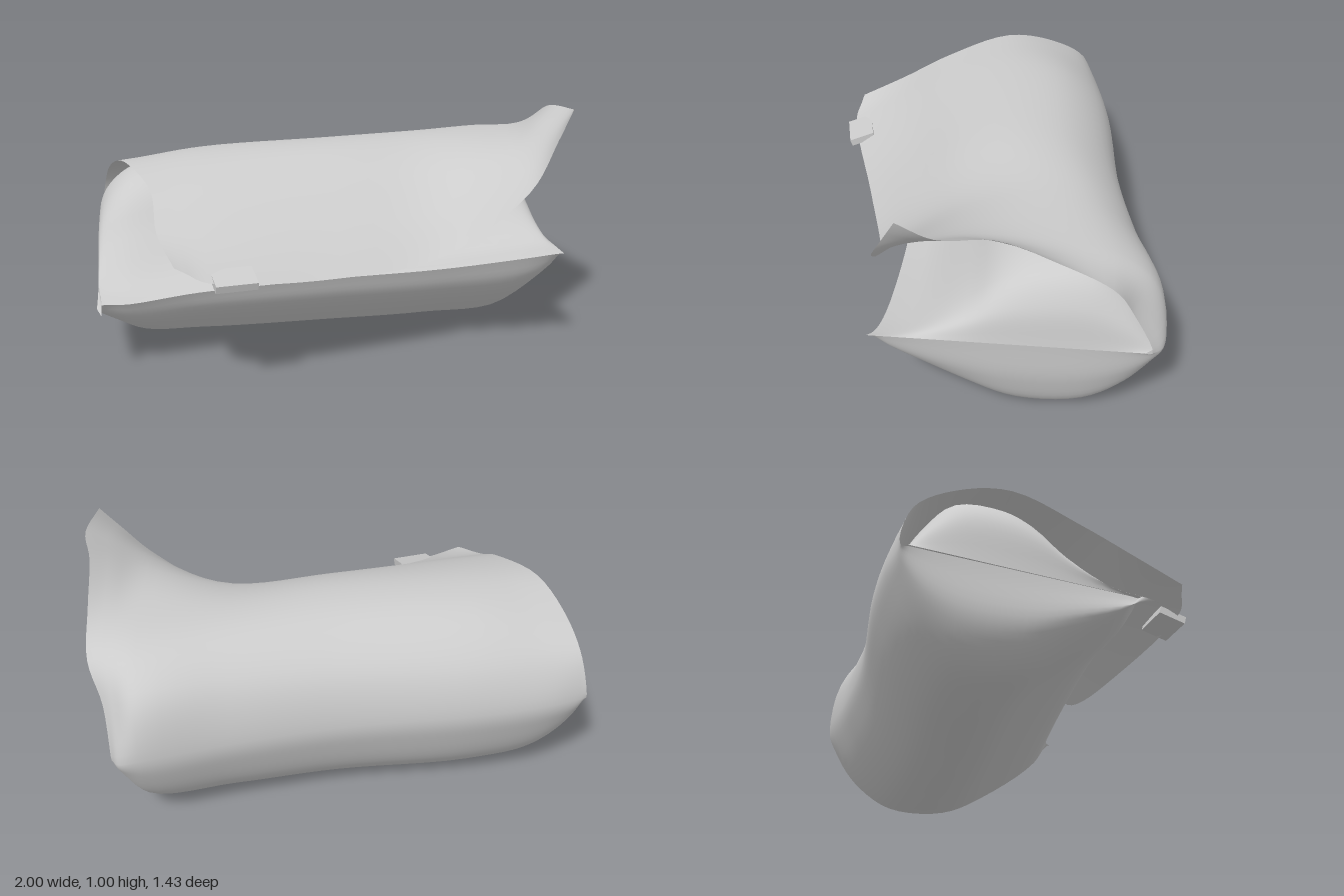
import * as THREE from 'three';

const { lerp } = THREE.MathUtils;
const material = new THREE.MeshStandardMaterial({ color: 0xcccccc, side: THREE.DoubleSide });

// Smooth sheet through rows of points: splines run along each row, then across the rows.
function sheet(name, rows, across, along) {
  const curves = rows.map((row) => new THREE.CatmullRomCurve3(row, false, 'centripetal'));
  const positions = [], index = [];
  for (let j = 0; j <= along; j++) {
    const cross = new THREE.CatmullRomCurve3(curves.map((c) => c.getPoint(j / along)), false, 'centripetal');
    for (let i = 0; i <= across; i++) {
      const p = cross.getPoint(i / across);
      positions.push(p.x, Math.max(0, p.y), p.z);
      if (i < across && j < along) {
        const a = j * (across + 1) + i, b = a + across + 1;
        index.push(a, a + 1, b, a + 1, b + 1, b);
      }
    }
  }
  const geometry = new THREE.BufferGeometry();
  geometry.setAttribute('position', new THREE.Float32BufferAttribute(positions, 3));
  geometry.setIndex(index);
  geometry.computeVertexNormals();
  const mesh = new THREE.Mesh(geometry, material);
  mesh.name = name;
  return mesh;
}

// Stations: front x, back x, front z, back z, front seam y, back seam y,
// lower fullness, upper fullness, position among the flap lines
const stations = [
  [-0.92, -1.00, 0.51, -0.40, 0.29, 0.43, 0, 0, 0],
  [-0.94, -0.97, 0.43, -0.41, 0.30, 0.43, 0.55, 0.55, 0.04],
  [-0.82, -0.84, 0.42, -0.45, 0.30, 0.43, 0.9, 0.9, 0.3],
  [-0.55, -0.55, 0.37, -0.50, 0.32, 0.43, 1, 1, 0.9],
  [0.00, 0.00, 0.34, -0.545, 0.35, 0.43, 1, 1, 2],
  [0.42, 0.42, 0.33, -0.625, 0.37, 0.43, 1, 1, 3],
  [0.78, 0.76, 0.34, -0.71, 0.41, 0.43, 0.93, 0.85, 3.95],
  [0.88, 0.84, 0.36, -0.70, 0.43, 0.41, 0.52, 0.5, 4.6],
  [0.91, 0.87, 0.38, -0.66, 0.44, 0.40, 0, 0, 5],
];
// Bulge from the front seam (0) to the back seam (1)
const lowerBulge = [[0, 0], [0.06, 0.3], [0.3, 0.77], [0.48, 0.98], [0.72, 0.95], [0.87, 0.68], [0.965, 0.3], [1, 0]];
const upperBulge = [[0, 0], [0.13, 0.06], [0.31, 0.4], [0.43, 0.72], [0.55, 0.88], [0.75, 0.9], [0.88, 0.56], [1, 0]];

function pouchRow([xF, xB, zF, zB, yF, yB, low, high], bulge, upper) {
  return bulge.map(([t, h]) => {
    const seam = lerp(yF, yB, t);
    const y = upper ? seam + (0.77 - seam) * h * high : seam - seam * h * low;
    // the upper half stays just inside the sheet at the back
    return new THREE.Vector3(lerp(xF, xB, t), y, lerp(zF, upper ? zB + 0.025 : zB, t));
  });
}

// Flap lines run from the back seam over the top to the loose front edge.
const at = (x, points) => points.map(([y, z]) => new THREE.Vector3(x, y, z));
const free = (points) => points.map((p) => new THREE.Vector3(...p));
const flapLines = [
  free([[-0.97, 0.6, -0.36], [-0.93, 0.7, -0.22], [-0.85, 0.765, 0], [-0.73, 0.71, 0.27],
    [-0.7, 0.6, 0.48], [-0.63, 0.53, 0.67]]),
  at(-0.5, [[0.62, -0.45], [0.76, -0.28], [0.79, -0.05], [0.72, 0.22], [0.58, 0.47], [0.47, 0.69]]),
  at(0, [[0.64, -0.49], [0.775, -0.32], [0.8, -0.1], [0.73, 0.12], [0.58, 0.33], [0.42, 0.53]]),
  at(0.42, [[0.65, -0.57], [0.775, -0.42], [0.8, -0.2], [0.73, 0.05], [0.6, 0.25], [0.455, 0.41]]),
  at(0.78, [[0.66, -0.66], [0.78, -0.5], [0.82, -0.2], [0.82, 0.05], [0.78, 0.22], [0.71, 0.37]]),
  free([[0.89, 0.6, -0.58], [0.94, 0.75, -0.5], [0.95, 0.86, -0.31], [0.96, 0.95, -0.1],
    [1, 0.97, 0.1], [0.96, 1.0, 0.24]]),
];

function flapRow(w) {
  const k = Math.min(Math.floor(w), flapLines.length - 2);
  return flapLines[k].map((p, i) => p.clone().lerp(flapLines[k + 1][i], w - k));
}

export function createModel() {
  const model = new THREE.Group();
  model.name = 'wrappedPouch';

  // One outer sheet: front lip, under the bottom, up the back, and over the top as a loose flap
  model.add(sheet('outerWrap', stations.map((s) => [...pouchRow(s, lowerBulge, false), ...flapRow(s[8])]), 48, 65));

  // Bulging upper half, meeting the outer sheet at a sharp seam
  model.add(sheet('pouchUpper', stations.map((s) => pouchRow(s, upperBulge, true)), 48, 28));

  // Small tab on the flap's front edge
  const tab = new THREE.Mesh(new THREE.BoxGeometry(0.16, 0.03, 0.11), material);
  tab.name = 'flapTab';
  tab.position.set(-0.415, 0.47, 0.645);
  tab.rotation.set(0.3, 0.22, -0.08);
  model.add(tab);

  return model;
}
